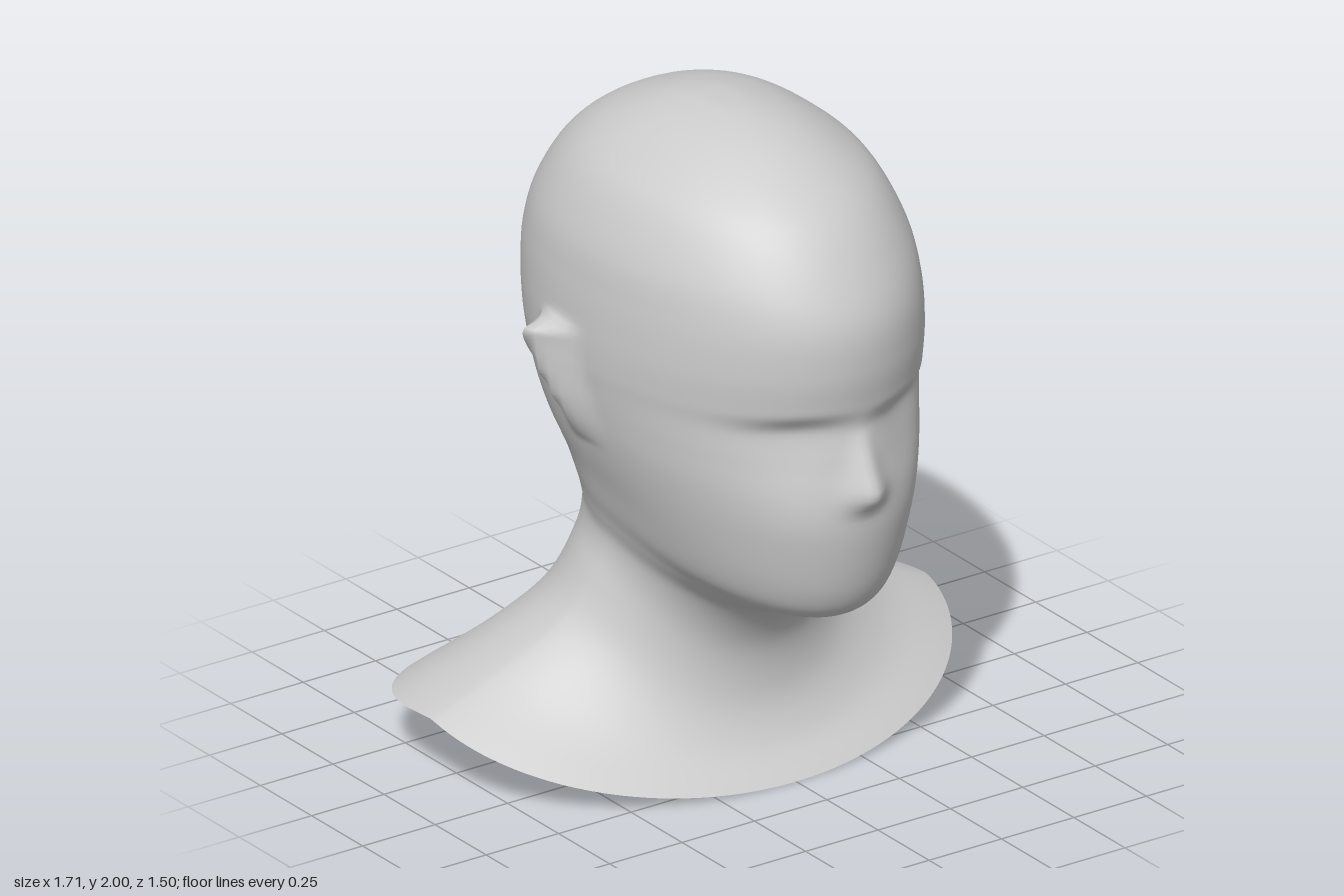
import * as THREE from 'three';

const AROUND = 168, ROWS = 132;

// Three guide lines run from the shoulder rim to the crown; matching entries form one ring.
const line = (pts) => new THREE.CatmullRomCurve3(pts.map((p) => new THREE.Vector3(...p)), false, 'catmullrom', 0.5);
const frontLine = line([
  [0, 0, 0.35], [0, 0.1, 0.26], [0, 0.23, 0.21], [0, 0.39, 0.22], [0, 0.52, 0.31], [0, 0.575, 0.45], [0, 0.61, 0.585],
  [0, 0.69, 0.65], [0, 0.85, 0.69], [0, 0.99, 0.702], [0, 1.12, 0.69], [0, 1.22, 0.675], [0, 1.29, 0.683], [0, 1.4, 0.697],
  [0, 1.53, 0.69], [0, 1.65, 0.64], [0, 1.78, 0.55], [0, 1.87, 0.44], [0, 1.95, 0.28], [0, 1.99, 0.12], [0, 2, -0.02],
]);
const sideLine = line([
  [0.855, 0.205, -0.23], [0.62, 0.32, -0.2], [0.45, 0.45, -0.15], [0.37, 0.59, -0.12], [0.345, 0.68, -0.1], [0.36, 0.75, -0.08], [0.385, 0.82, -0.06],
  [0.41, 0.9, -0.05], [0.445, 1.0, -0.05], [0.47, 1.09, -0.05], [0.485, 1.17, -0.05], [0.495, 1.25, -0.05], [0.5, 1.31, -0.05], [0.5, 1.4, -0.05],
  [0.49, 1.53, -0.05], [0.466, 1.66, -0.04], [0.4, 1.8, -0.03], [0.32, 1.88, -0.02], [0.2, 1.955, -0.02], [0.08, 1.993, -0.02], [0, 2, -0.02],
]);
const backLine = line([
  [0, 0.14, -0.745], [0, 0.29, -0.6], [0, 0.45, -0.49], [0, 0.65, -0.42], [0, 0.76, -0.415], [0, 0.84, -0.42], [0, 0.92, -0.445],
  [0, 0.99, -0.48], [0, 1.08, -0.545], [0, 1.16, -0.58], [0, 1.24, -0.605], [0, 1.31, -0.622], [0, 1.37, -0.63], [0, 1.45, -0.638],
  [0, 1.55, -0.638], [0, 1.67, -0.6], [0, 1.8, -0.52], [0, 1.9, -0.4], [0, 1.965, -0.25], [0, 1.995, -0.12], [0, 2, -0.02],
]);

const { smoothstep, lerp } = THREE.MathUtils;
const bell = (d, width) => Math.exp(-((d / width) ** 2));
// Rises from a to b, then falls from b to c
const hump = (v, a, b, c) => (v < b ? smoothstep(v, a, b) : 1 - smoothstep(v, b, c));

// Nose, eye hollows and ears are raised from or pressed into the skin
function sculpt(p) {
  const ax = Math.abs(p.x);
  if (p.z > 0.2) {
    const ridge = p.y < 1.035 ? smoothstep(p.y, 0.95, 1.035) : Math.max(0, 1 - (p.y - 1.035) / 0.18);
    const noseWidth = lerp(0.06, 0.035, smoothstep(p.y, 1.0, 1.2));
    const hollow = hump(p.y, 0.9, 1.215, 1.29) * bell(ax - 0.19, 0.13);
    p.z += 0.055 * ridge * bell(p.x, noseWidth) - 0.035 * hollow;
  } else if (p.z > -0.35 && p.y > 1.03 && p.y < 1.43) {
    const height = p.y < 1.36 ? Math.max(0, (p.y - 1.04) / 0.32) ** 0.75 : 1 - smoothstep(p.y, 1.37, 1.415);
    const d = p.z - lerp(-0.05, -0.13, smoothstep(p.y, 1.05, 1.36));
    const flap = d > 0 ? Math.max(0, 1 - d / 0.13) ** 1.4 : Math.max(0, 1 + d / 0.075) ** 1.3;
    p.x += Math.sign(p.x) * 0.095 * height * flap;
    p.z -= 0.02 * height * flap;
  }
  return p;
}

function ringPoint(v, t) {
  const side = sideLine.getPoint(v);
  const c = Math.cos(t), s = Math.sin(t);
  const end = (c >= 0 ? frontLine : backLine).getPoint(v);
  // Fuller curve behind, fullest at the shoulders
  const power = c >= 0 ? 1 : 2 / lerp(2.7, 2.2, smoothstep(v, 0, 0.15));
  const along = Math.abs(c) ** power;
  return sculpt(new THREE.Vector3(
    Math.sign(s) * side.x * Math.abs(s) ** power,
    lerp(side.y, end.y, along ** 1.2),
    lerp(side.z, end.z, along),
  ));
}

function bustGeometry() {
  const positions = [], index = [];
  for (let i = 0; i < ROWS; i++) {
    for (let j = 0; j < AROUND; j++) {
      positions.push(...ringPoint(i / ROWS, (j / AROUND) * Math.PI * 2).toArray());
    }
  }
  const crown = ROWS * AROUND;
  positions.push(0, 2, -0.02);
  for (let i = 0; i < ROWS; i++) {
    for (let j = 0; j < AROUND; j++) {
      const k = (j + 1) % AROUND;
      const a = i * AROUND + j, b = i * AROUND + k;
      if (i === ROWS - 1) index.push(a, b, crown);
      else index.push(a, b, b + AROUND, a, b + AROUND, a + AROUND);
    }
  }
  const geometry = new THREE.BufferGeometry();
  geometry.setAttribute('position', new THREE.Float32BufferAttribute(positions, 3));
  geometry.setIndex(index);
  geometry.computeVertexNormals();
  return geometry;
}

export function createModel() {
  const model = new THREE.Group();
  model.name = 'bust';
  // Head, neck and shoulders are one open skin
  const skin = new THREE.Mesh(
    bustGeometry(),
    new THREE.MeshStandardMaterial({ color: 0xcccccc, side: THREE.DoubleSide }),
  );
  skin.name = 'headAndShoulders';
  model.add(skin);
  return model;
}
